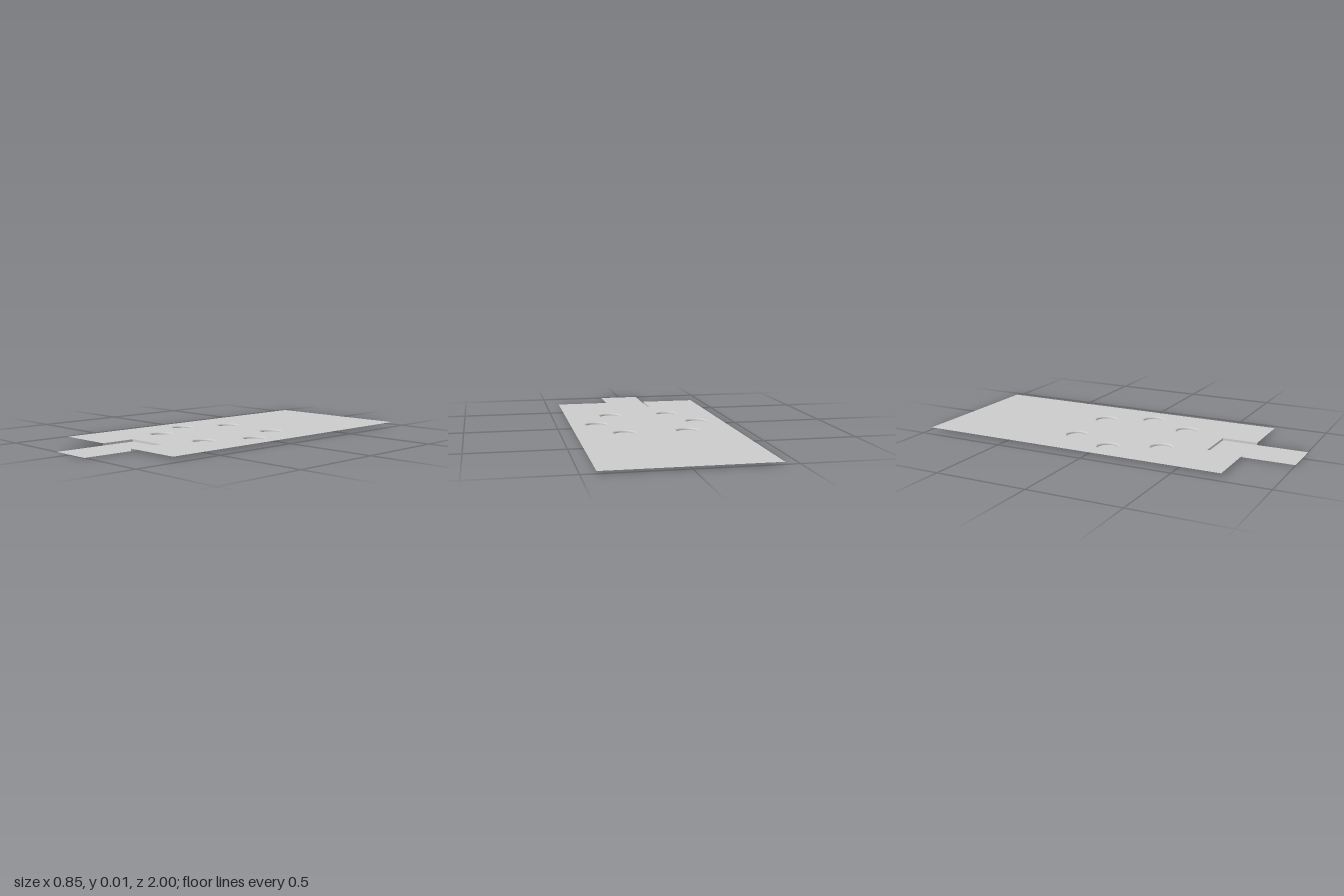
import * as THREE from 'three';

const H = 0.012;       // height of the sheet above the recess floors
const TAB = 0.116;     // half width of the tab
const TAB_BACK = 0.535, FRONT = 0.727, BACK = -1, HALF = 0.427;
const LIP = 0.067, WELL = 0.055;
const WELLS = [[0.17, -0.207], [0.285, 0.045], [0.17, 0.3]]
  .flatMap(([x, z]) => [[x, z], [-x, z]]);

export function createModel() {
  const group = new THREE.Group();
  const material = new THREE.MeshStandardMaterial({ color: 0xcccccc, side: THREE.DoubleSide });
  const add = (name, geometry, x = 0, y = 0, z = 0) => {
    const mesh = new THREE.Mesh(geometry, material);
    mesh.name = name;
    mesh.position.set(x, y, z);
    group.add(mesh);
  };

  // Thin sheet with a slot at the front and six round openings (shape y = -z)
  const outline = new THREE.Shape([
    [-HALF, FRONT], [-TAB, FRONT], [-TAB, TAB_BACK], [TAB, TAB_BACK],
    [TAB, FRONT], [HALF, FRONT], [HALF, BACK], [-HALF, BACK],
  ].map(([x, z]) => new THREE.Vector2(x, -z)));
  for (const [x, z] of WELLS) {
    outline.holes.push(new THREE.Path().absarc(x, -z, LIP, 0, Math.PI * 2, true));
  }
  add('sheet', new THREE.ShapeGeometry(outline, 24).rotateX(-Math.PI / 2), 0, H, 0);

  // Round wells: rounded lip, short straight wall and flat floor
  const profile = [new THREE.Vector2(WELL, 0)];
  for (let i = 0; i <= 6; i++) {
    const a = (i / 6) * Math.PI / 2;
    profile.push(new THREE.Vector2(LIP - (LIP - WELL) * Math.cos(a), 0.004 + (H - 0.004) * Math.sin(a)));
  }
  const wall = new THREE.LatheGeometry(profile, 48);
  const floor = new THREE.CircleGeometry(WELL, 48).rotateX(-Math.PI / 2);
  for (const [x, z] of WELLS) {
    add('wellWall', wall, x, 0, z);
    add('wellFloor', floor, x, 0, z);
  }

  // Lowered tab running out past the front edge
  add('tab', new THREE.PlaneGeometry(TAB * 2, 1 - TAB_BACK).rotateX(-Math.PI / 2), 0, 0, (1 + TAB_BACK) / 2);

  // Upright walls joining the tab to the sheet
  add('slotBackWall', new THREE.PlaneGeometry(TAB * 2, H), 0, H / 2, TAB_BACK);
  for (const s of [-1, 1]) {
    add('slotSideWall', new THREE.PlaneGeometry(FRONT - TAB_BACK, H).rotateY(-s * Math.PI / 2),
      s * TAB, H / 2, (FRONT + TAB_BACK) / 2);
  }
  return group;
}
